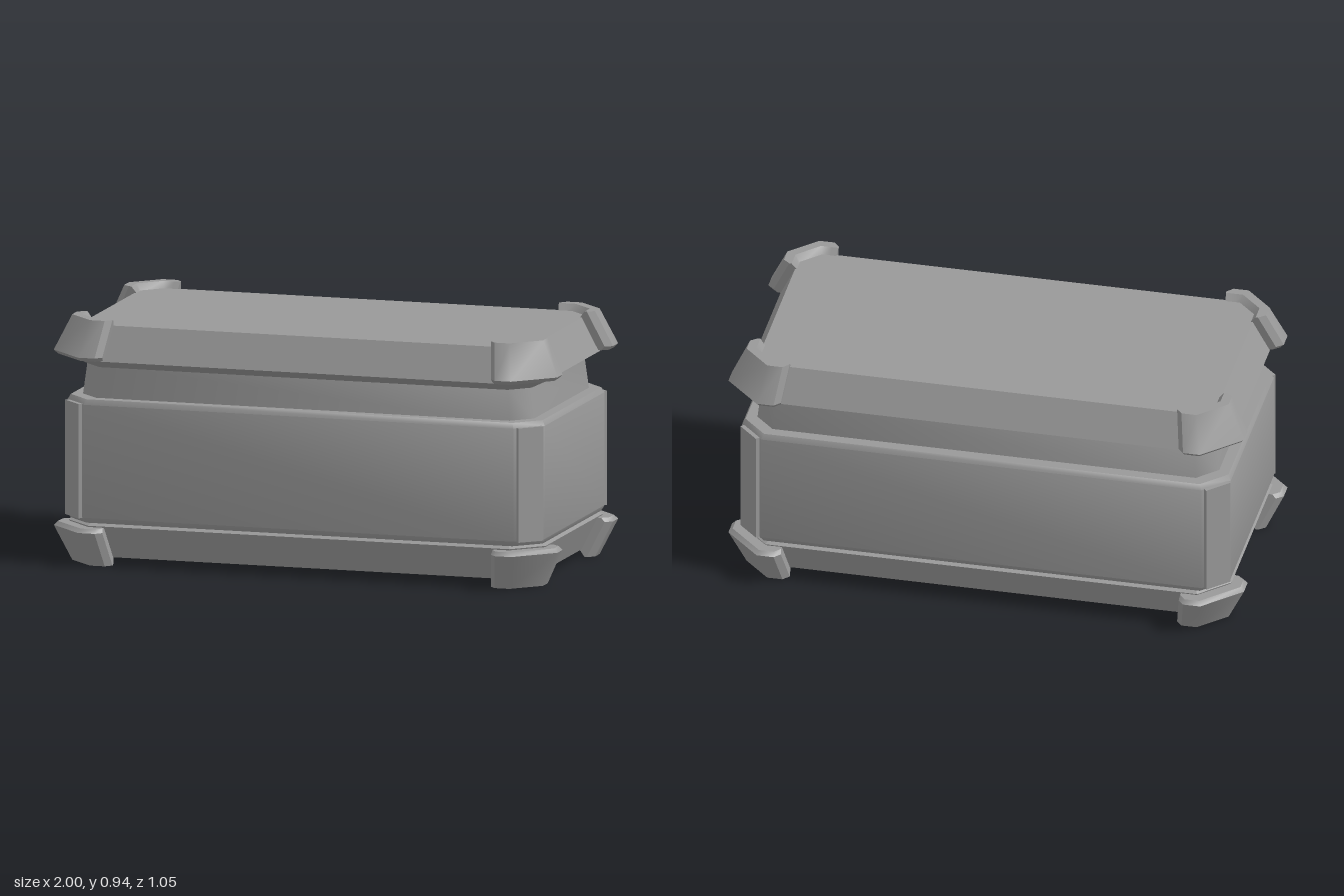
import * as THREE from 'three';
import { toCreasedNormals } from 'three/addons/utils/BufferGeometryUtils.js';

const STRETCH = 0.475; // half width minus half depth, the same for every section

// Skins a row of equal loops and caps both ends.
function skin(sections, crease) {
  const pos = [];
  const tri = (...p) => p.forEach((v) => pos.push(...v));
  const n = sections[0].length;
  for (let s = 0; s < sections.length - 1; s++) {
    for (let i = 0; i < n; i++) {
      const j = (i + 1) % n;
      const [a, b, c, d] = [sections[s][i], sections[s][j], sections[s + 1][j], sections[s + 1][i]];
      tri(a, d, c);
      tri(a, c, b);
    }
  }
  const first = sections[0], last = sections[sections.length - 1];
  for (let i = 1; i < n - 1; i++) {
    tri(first[0], first[i], first[i + 1]);
    tri(last[0], last[i + 1], last[i]);
  }
  const g = new THREE.BufferGeometry();
  g.setAttribute('position', new THREE.Float32BufferAttribute(pos, 3));
  return toCreasedNormals(g, crease);
}

// Rectangle with cut corners: half depth z, height y, corner cut c.
function ring([z, y, c]) {
  const x = z + STRETCH;
  return [
    [x, y, z - c], [x - c, y, z], [c - x, y, z], [-x, y, z - c],
    [-x, y, c - z], [c - x, y, -z], [x - c, y, -z], [x, y, c - z],
  ];
}

// Corner guard wrapped round one cut corner; sx, sy, sz choose the corner.
// Profile entries: distance out, height, how far the end bevel pulls it in.
const GUARD = [
  [0.43, 0.795, 0], [0.51, 0.795, 0.026], [0.525, 0.81, 0.026],
  [0.46, 0.945, 0.026], [0.425, 0.945, 0], [0.4, 0.912, 0],
];
function guardGeometry(sx, sy, sz) {
  const cut = (q) => 0.14 - (0.525 - q) * 0.586;
  const end = (y) => 0.299 - (y - 0.795) * 0.15; // the ends slant with height
  const bevel = (y) => end(y) + 0.0225;
  const stations = [
    ([q, y, b]) => [end(y) + STRETCH, y, q - b],
    ([q, y]) => [bevel(y) + STRETCH, y, q],
    ([q, y]) => [q + STRETCH - cut(q), y, q],
    ([q, y]) => [q + STRETCH, y, q - cut(q)],
    ([q, y]) => [q + STRETCH, y, bevel(y)],
    ([q, y, b]) => [q - b + STRETCH, y, end(y)],
  ];
  const loops = stations.map((f) => {
    const loop = GUARD.map(f).map(([x, y, z]) => [x * sx, sy > 0 ? y : 0.945 - y, z * sz]);
    return sx * sy * sz < 0 ? loop.reverse() : loop;
  });
  return skin(loops, 0.75);
}

export function createModel() {
  const model = new THREE.Group();
  const material = new THREE.MeshStandardMaterial({ color: 0x999999 });
  const add = (name, geometry) => {
    const mesh = new THREE.Mesh(geometry, material);
    mesh.name = name;
    model.add(mesh);
    return mesh;
  };
  const loft = (name, rows, crease) => add(name, skin(rows.map(ring), crease));

  // Stacked shells, bottom to top
  loft('basePlate', [[0.412, 0.028, 0.075], [0.472, 0.155, 0.11], [0.405, 0.19, 0.07]], 0.3);
  loft('body', [
    [0.462, 0.165, 0.092], [0.473, 0.185, 0.094], [0.473, 0.62, 0.094], [0.462, 0.64, 0.092],
  ], 0.85);
  loft('neck', [[0.422, 0.63, 0.075], [0.406, 0.765, 0.07]], 0.85);
  loft('lid', [[0.405, 0.755, 0.07], [0.475, 0.79, 0.11], [0.413, 0.92, 0.075]], 0.3);

  for (const sx of [1, -1]) {
    for (const sz of [1, -1]) {
      // Raised strip on each cut corner of the body
      const strip = add('cornerStrip', new THREE.BoxGeometry(0.108, 0.44, 0.02));
      strip.position.set(sx * (0.43 + STRETCH), 0.402, sz * 0.43);
      strip.rotation.y = Math.atan2(sx, sz);

      // Guards on the lid and base corners
      add('upperCornerGuard', guardGeometry(sx, 1, sz));
      add('lowerCornerGuard', guardGeometry(sx, -1, sz));
    }
  }
  return model;
}
